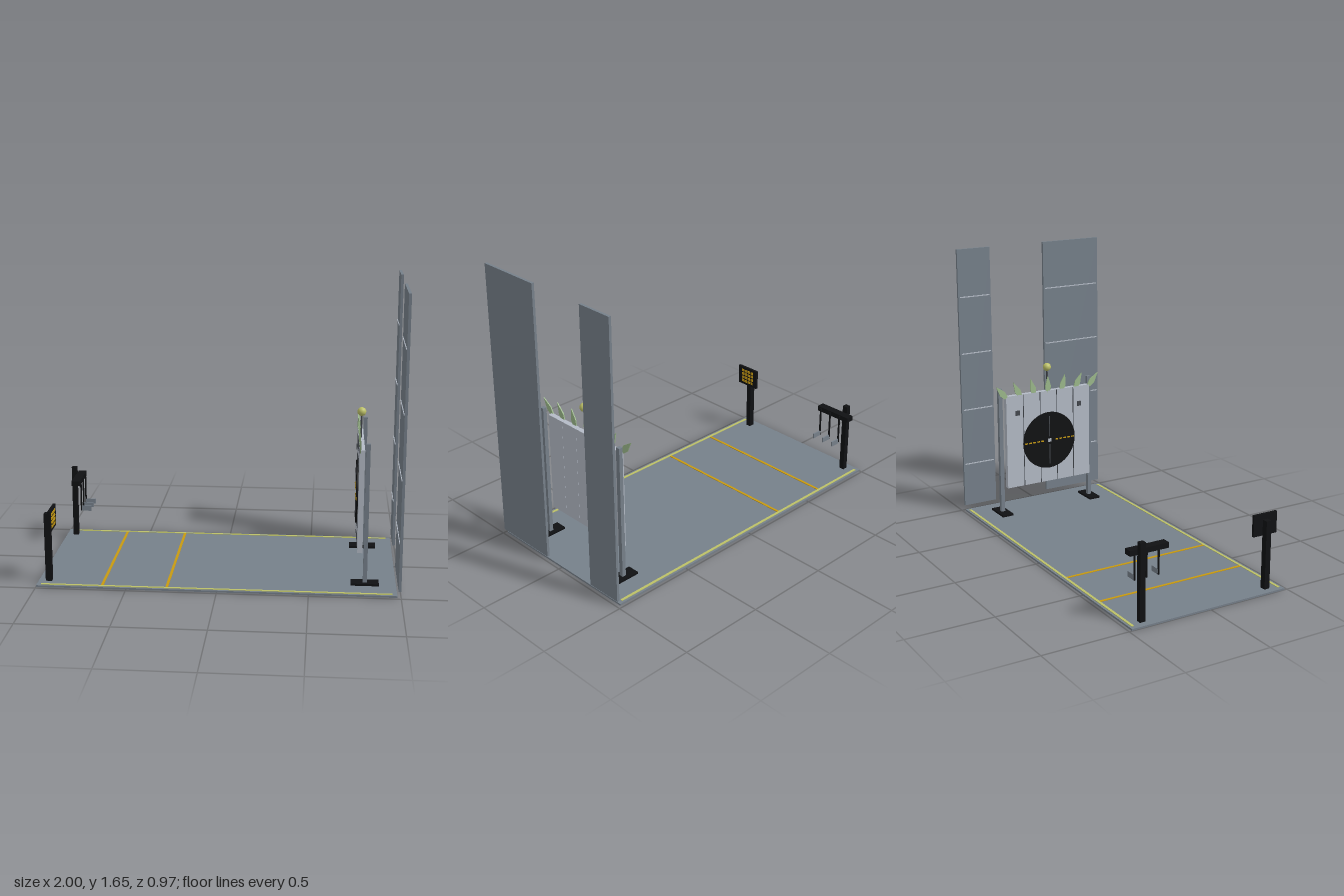
import * as THREE from 'three';

const mat = (name, color) => {
  const m = new THREE.MeshStandardMaterial({ color });
  m.name = name;
  return m;
};

export function createModel() {
  const steel = mat('steel grey', 0x76808a);
  const pale = mat('pale plate', 0xb4bbc6);
  const black = mat('black', 0x101113);
  const gold = mat('gold', 0xc79a12);
  const lime = mat('lime', 0xbcc068);
  const leafGreen = mat('leaf green', 0x9dba8c);
  const dark = mat('dark seam', 0x44484e);

  const model = new THREE.Group();
  model.name = 'targetRange';
  const group = (name) => {
    const g = new THREE.Group();
    g.name = name;
    model.add(g);
    return g;
  };
  // Box given by its limits on each axis
  const box = (parent, name, material, [x0, x1], [y0, y1], [z0, z1]) => {
    const m = new THREE.Mesh(new THREE.BoxGeometry(x1 - x0, y1 - y0, z1 - z0), material);
    m.position.set((x0 + x1) / 2, (y0 + y1) / 2, (z0 + z1) / 2);
    m.name = name;
    parent.add(m);
    return m;
  };
  const around = (c, w) => [c - w / 2, c + w / 2];

  // Floor with border stripes and distance lines
  const floor = group('floor');
  box(floor, 'floorSlab', steel, [-1, 0.98], [0, 0.01], [-0.483, 0.483]);
  for (const s of [-1, 1])
    box(floor, 'borderStripe', lime, [-0.975, 0.955], [0.01, 0.013], around(s * 0.463, 0.015));
  for (const x of [-0.635, -0.277])
    box(floor, 'distanceLine', gold, around(x, 0.015), [0.01, 0.013], [-0.455, 0.455]);

  // Tall backing panels with seam strips on the inner face
  const panels = group('backPanels');
  for (const [z0, z1] of [[0.095, 0.483], [-0.483, -0.268]]) {
    box(panels, 'panel', steel, [0.985, 1], [0.035, 1.65], [z0, z1]);
    for (const y of [0.305, 0.655, 1.01, 1.36])
      box(panels, 'panelSeam', pale, [0.981, 0.985], around(y, 0.006), [z0 + 0.01, z1 - 0.01]);
  }

  // Target stand: posts on flat feet
  const stand = group('targetStand');
  for (const s of [-1, 1]) {
    box(stand, 'foot', black, [0.73, 0.885], [0.01, 0.022], around(s * 0.31, 0.072));
    box(stand, 'standPost', steel, [0.797, 0.82], [0.022, 0.81], around(s * 0.31, 0.025));
  }

  // Target board of five planks
  const target = group('target');
  for (let i = -2; i <= 2; i++)
    box(target, 'plank', pale, [0.763, 0.792], [0.18, 0.767], around(i * 0.116, 0.115));
  for (const z of [-0.174, -0.058, 0.058, 0.174])
    box(target, 'plankSeam', dark, [0.761, 0.764], [0.18, 0.767], around(z, 0.004));
  for (const s of [-1, 1])
    box(target, 'bolt', dark, [0.756, 0.763], around(0.655, 0.03), around(s * 0.215, 0.025));

  // Round bull's-eye with cross marks
  const disc = new THREE.Mesh(new THREE.CylinderGeometry(0.18, 0.18, 0.009, 40), black);
  disc.rotation.z = Math.PI / 2;
  disc.position.set(0.7585, 0.45, 0);
  disc.name = 'disc';
  target.add(disc);
  const face = [0.751, 0.754];
  box(target, 'discCentre', pale, face, around(0.45, 0.022), around(0, 0.022));
  for (const s of [-1, 1]) {
    box(target, 'verticalMark', dark, face, around(0.45 + s * 0.09, 0.13), around(0, 0.005));
    for (let i = 0; i < 5; i++)
      box(target, 'dashMark', gold, face, around(0.45, 0.008), around(s * (0.05 + i * 0.028), 0.018));
  }

  // Fan of pointed leaves along the board's top edge
  const outline = new THREE.Shape(
    [[-0.012, -0.01], [0.012, -0.01], [0.02, 0.028], [0, 0.093], [-0.02, 0.028]]
      .map(([x, y]) => new THREE.Vector2(x, y)));
  const leafGeo = new THREE.ExtrudeGeometry(outline, { depth: 0.006, bevelEnabled: false });
  leafGeo.rotateY(-Math.PI / 2);
  for (let i = -3; i <= 3; i++) {
    const leaf = new THREE.Mesh(leafGeo, leafGreen);
    leaf.position.set(0.769, 0.767, i * 0.098);
    leaf.rotation.x = i * 0.235;
    leaf.name = 'leaf';
    target.add(leaf);
  }

  // Ball on a rod
  const rod = new THREE.Mesh(new THREE.CylinderGeometry(0.005, 0.005, 0.14, 10), dark);
  rod.position.set(0.776, 0.83, 0);
  rod.name = 'ballRod';
  const ball = new THREE.Mesh(new THREE.SphereGeometry(0.025, 20, 14), lime);
  ball.position.set(0.776, 0.915, 0);
  ball.name = 'ball';
  target.add(rod, ball);

  // Hanger post with crossbar and three tags
  const hanger = group('hanger');
  box(hanger, 'hangerPost', black, [-0.96, -0.93], [0.01, 0.442], around(-0.395, 0.032));
  box(hanger, 'crossbar', black, [-0.932, -0.884], [0.37, 0.4], [-0.455, -0.222]);
  for (const z of [-0.395, -0.323, -0.25]) {
    box(hanger, 'hookArm', black, [-0.89, -0.876], [0.385, 0.393], around(z, 0.008));
    box(hanger, 'hookRod', black, [-0.884, -0.876], [0.21, 0.39], around(z, 0.008));
    box(hanger, 'tag', steel, [-0.88, -0.82], [0.21, 0.24], around(z, 0.008));
  }

  // Sign post with a grid of gold squares
  const sign = group('sign');
  box(sign, 'signPost', black, [-0.96, -0.925], [0.01, 0.4], around(0.395, 0.032));
  box(sign, 'signBoard', black, [-0.926, -0.911], [0.31, 0.432], [0.32, 0.472]);
  for (let r = 0; r < 4; r++)
    for (let c = 0; c < 4; c++)
      box(sign, 'signSquare', gold, [-0.911, -0.908],
        around(0.335 + r * 0.024, 0.016), around(0.358 + c * 0.025, 0.018));

  return model;
}
